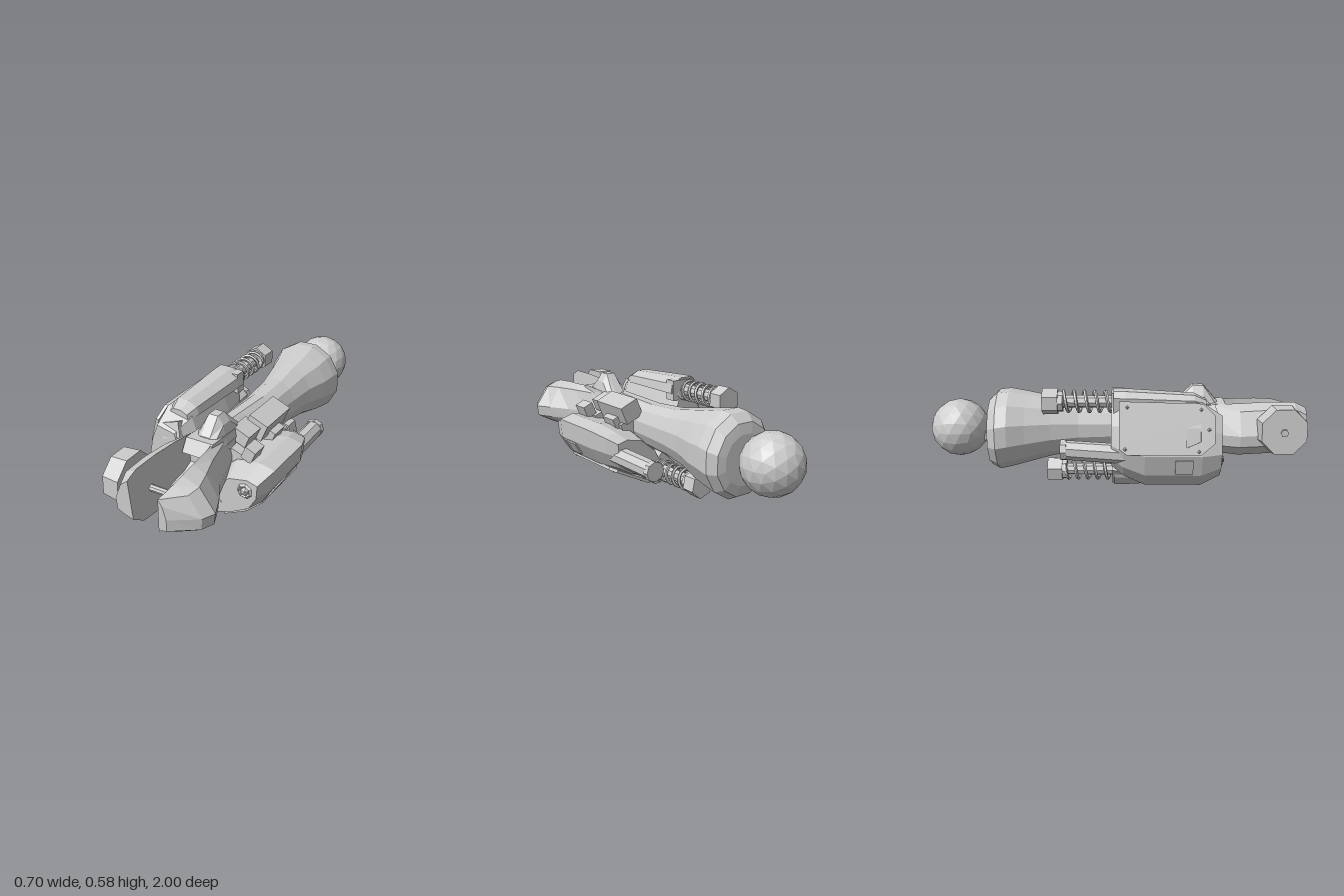
import * as THREE from 'three';

const mat = new THREE.MeshStandardMaterial({ color: 0xcccccc, flatShading: true, side: THREE.DoubleSide });

function add(parent, name, geo, pos = [0, 0, 0], rot = [0, 0, 0]) {
  const m = new THREE.Mesh(geo, mat);
  m.name = name;
  m.position.set(...pos);
  m.rotation.set(...rot);
  parent.add(m);
  return m;
}
const box = (w, h, d) => new THREE.BoxGeometry(w, h, d);
// prism or cone running along z
const rod = (r0, r1, len, sides) => new THREE.CylinderGeometry(r0, r1, len, sides).rotateX(Math.PI / 2);

// skin a list of [z, [[x, y], ...]] cross-sections and close both ends
function loft(sections) {
  const rings = sections.map(([z, pts]) => {
    const area = pts.reduce((s, p, i) => {
      const q = pts[(i + 1) % pts.length];
      return s + p[0] * q[1] - q[0] * p[1];
    }, 0);
    return (area < 0 ? [...pts].reverse() : pts).map(([x, y]) => [x, y, z]);
  });
  const n = rings[0].length, out = [];
  for (let k = 0; k + 1 < rings.length; k++) {
    for (let i = 0; i < n; i++) {
      const j = (i + 1) % n, a = rings[k], b = rings[k + 1];
      out.push(...a[i], ...a[j], ...b[j], ...a[i], ...b[j], ...b[i]);
    }
  }
  const first = rings[0], last = rings[rings.length - 1];
  const mid = r => [0, 1, 2].map(c => r.reduce((s, p) => s + p[c], 0) / n);
  for (let i = 0; i < n; i++) {
    const j = (i + 1) % n;
    out.push(...mid(first), ...first[j], ...first[i], ...mid(last), ...last[i], ...last[j]);
  }
  const g = new THREE.BufferGeometry();
  g.setAttribute('position', new THREE.Float32BufferAttribute(out, 3));
  g.computeVertexNormals();
  return g;
}

const oval = (cx, cy, rx, ry, n = 12) => Array.from({ length: n }, (_, i) => {
  const a = (i + 0.5) / n * Math.PI * 2;
  return [cx + rx * Math.cos(a), cy + ry * Math.sin(a)];
});
const scaled = (pts, s, cx, cy) => pts.map(([x, y]) => [cx + (x - cx) * s, cy + (y - cy) * s]);

// coil spring around a core, with a faceted head at the back
function makeSpring() {
  const g = new THREE.Group();
  g.name = 'spring';
  const pts = Array.from({ length: 61 }, (_, i) => {
    const a = i / 60 * Math.PI * 10;
    return new THREE.Vector3(0.052 * Math.cos(a), 0.052 * Math.sin(a), -0.28 + 0.27 * i / 60);
  });
  add(g, 'springCoil', new THREE.TubeGeometry(new THREE.CatmullRomCurve3(pts), 90, 0.009, 5));
  add(g, 'springCore', rod(0.032, 0.032, 0.34, 8), [0, 0, -0.15]);
  add(g, 'springHead', rod(0.068, 0.07, 0.08, 6), [0, 0, -0.335]);
  add(g, 'springCollar', rod(0.055, 0.055, 0.03, 8), [0, 0, -0.285]);
  add(g, 'springSeat', box(0.14, 0.11, 0.06), [0.01, 0, 0.01]);
  return g;
}

// side pod, facing -x, with z along the limb and the limb axis at the origin
function makePod(name) {
  const pod = new THREE.Group();
  pod.name = name;
  const shell = [[-0.12, 0.17], [-0.26, 0.2], [-0.31, 0.08], [-0.342, -0.06], [-0.31, -0.17],
    [-0.24, -0.245], [-0.17, -0.2], [-0.1, -0.08], [-0.09, 0.08]];
  add(pod, 'podShell', loft([
    [-0.02, scaled(shell, 0.7, -0.2, 0.08)], [0.04, scaled(shell, 0.86, -0.2, 0.1)], [0.15, shell],
    [0.44, shell], [0.54, scaled(shell, 0.72, -0.26, -0.04)]]));

  // spring housing along the upper edge
  const housing = [[-0.09, 0.17], [-0.1, 0.22], [-0.16, 0.25], [-0.235, 0.25], [-0.265, 0.22], [-0.255, 0.14]];
  add(pod, 'springHousing', loft([
    [-0.01, housing], [0.05, housing], [0.4, scaled(housing, 0.82, -0.19, 0.14)],
    [0.46, scaled(housing, 0.6, -0.19, 0.13)]]));

  // bolted outer plate with a window
  const plate = new THREE.Group();
  plate.name = 'outerPlate';
  plate.position.set(-0.3, 0.07, 0);
  plate.rotation.z = -0.28;
  const s = new THREE.Shape([[0.02, -0.1], [0.06, -0.13], [0.43, -0.13], [0.5, -0.07],
    [0.5, 0.07], [0.44, 0.13], [0.02, 0.14]].map(p => new THREE.Vector2(...p)));
  s.holes.push(new THREE.Path([[0.36, -0.09], [0.43, -0.06], [0.43, 0.03], [0.36, 0.01]]
    .map(p => new THREE.Vector2(...p))));
  const pg = new THREE.ExtrudeGeometry(s, { depth: 0.016, bevelEnabled: false });
  add(plate, 'platePanel', pg.rotateY(-Math.PI / 2));
  for (const [z, y] of [[0.05, -0.1], [0.06, 0.11], [0.42, -0.11], [0.43, 0.1], [0.47, 0]]) {
    add(plate, 'plateBolt', new THREE.ConeGeometry(0.012, 0.008, 4).rotateZ(Math.PI / 2), [-0.019, y, z]);
  }
  pod.add(plate);

  // piston at the back and the socket in front
  add(pod, 'piston', loft([
    [-0.28, oval(-0.262, -0.05, 0.05, 0.05, 8)], [0.1, oval(-0.262, -0.075, 0.052, 0.052, 8)]]));
  add(pod, 'pistonCap', rod(0.054, 0.054, 0.03, 8), [-0.262, -0.051, -0.265]);
  add(pod, 'socketRing', new THREE.TorusGeometry(0.032, 0.01, 4, 7), [-0.235, -0.105, 0.54]);
  add(pod, 'socketPin', new THREE.IcosahedronGeometry(0.024, 0), [-0.235, -0.105, 0.54]);
  add(pod, 'sideLug', box(0.05, 0.08, 0.09), [-0.308, -0.115, 0.35], [0, 0, 0.28]);
  add(pod, 'frontClamp', box(0.1, 0.08, 0.12), [-0.19, 0.1, 0.47], [-0.3, 0, 0.3]);
  // braces reaching the shaft
  for (const z of [0.12, 0.38]) add(pod, 'podBrace', box(0.12, 0.1, 0.09), [-0.09, -0.06, z], [0, 0, 0.5]);

  const spring = makeSpring();
  spring.position.set(-0.18, 0.185, 0);
  pod.add(spring);
  return pod;
}

export function createModel() {
  const model = new THREE.Group();
  model.name = 'mechanicalLimb';

  // ball joint
  add(model, 'ballJoint', new THREE.IcosahedronGeometry(0.155, 2), [-0.02, 0.33, -0.846]);
  add(model, 'ballNeck', box(0.1, 0.06, 0.16), [-0.02, 0.3, -0.68]);

  // bone-like shaft: z, centre x, centre y, half width, half height
  add(model, 'shaft', loft([
    [-0.685, -0.01, 0.31, 0.13, 0.13], [-0.675, -0.01, 0.31, 0.175, 0.185], [-0.63, -0.01, 0.318, 0.207, 0.218],
    [-0.57, -0.01, 0.328, 0.205, 0.215], [-0.48, 0, 0.33, 0.182, 0.195], [-0.35, 0, 0.335, 0.145, 0.165],
    [-0.2, 0.005, 0.335, 0.12, 0.138], [0, 0.005, 0.335, 0.105, 0.125], [0.3, 0, 0.34, 0.09, 0.13],
    [0.44, 0, 0.345, 0.1, 0.14],
  ].map(([z, ...o]) => [z, oval(...o)])));

  // fork prongs: z, inner x, outer x, bottom y, top y
  const prong = ([z, i, o, b, t]) => {
    const m = (b + t) / 2 - 0.03, at = f => i + (o - i) * f;
    return [z, [[i, b], [at(0.45), b + 0.01], [at(0.95), m - 0.04], [o, m + 0.02], [at(0.6), t - 0.03], [at(0.15), t]]];
  };
  add(model, 'leftProng', loft([
    [0.36, 0.0, 0.08, 0.22, 0.46], [0.5, 0.06, 0.125, 0.21, 0.47], [0.65, 0.08, 0.175, 0.2, 0.47],
    [0.76, 0.08, 0.24, 0.2, 0.47], [0.85, 0.08, 0.28, 0.2, 0.465], [0.91, 0.08, 0.25, 0.21, 0.45],
    [1.0, 0.08, 0.125, 0.25, 0.42]].map(prong)));
  add(model, 'rightProng', loft([
    [0.36, 0.0, -0.08, 0.22, 0.46], [0.5, -0.04, -0.14, 0.21, 0.47], [0.65, -0.05, -0.185, 0.2, 0.48],
    [0.8, -0.05, -0.19, 0.21, 0.49], [0.94, -0.05, -0.18, 0.22, 0.49],
    [1.0, -0.06, -0.15, 0.26, 0.46]].map(prong)));
  add(model, 'prongDisc', new THREE.CylinderGeometry(0.125, 0.135, 0.09, 8).rotateZ(Math.PI / 2)
    .rotateX(Math.PI / 8), [-0.2, 0.37, 0.86], [0, 0.04, -0.06]);
  add(model, 'discBolt', new THREE.CylinderGeometry(0.02, 0.02, 0.02, 6).rotateZ(Math.PI / 2), [-0.248, 0.37, 0.86]);

  // stepped web: side profile with a deep slot, spanning the prongs
  const web = new THREE.Shape([[0.38, 0.21], [0.76, 0.205], [0.72, 0.285], [0.62, 0.3], [0.56, 0.33],
    [0.56, 0.4], [0.62, 0.41], [0.58, 0.475], [0.38, 0.465]].map(p => new THREE.Vector2(...p)));
  const webGeo = new THREE.ExtrudeGeometry(web, { depth: 0.15, bevelEnabled: false });
  add(model, 'forkWeb', webGeo.rotateY(-Math.PI / 2), [0.093, 0, 0]);
  add(model, 'crossPin', new THREE.CylinderGeometry(0.017, 0.017, 0.18, 8).rotateZ(Math.PI / 2), [0.015, 0.35, 0.86]);

  // raised eyelet on top of the shaft
  const hump = [[-0.06, 0.42], [0.1, 0.42], [0.08, 0.52], [0.05, 0.562], [0.0, 0.562], [-0.03, 0.51]];
  const low = f => hump.map(([x, y]) => [x, 0.42 + (y - 0.42) * f]);
  add(model, 'eyelet', loft([[0.3, low(0.25)], [0.41, hump], [0.465, hump], [0.54, low(0.4)]]));
  add(model, 'eyeletRing', new THREE.TorusGeometry(0.02, 0.008, 4, 5), [0.028, 0.525, 0.472]);

  // blocks clamped on the left shoulder of the shaft
  const block = new THREE.Group();
  block.name = 'shoulderBlocks';
  block.position.set(0.14, 0.41, 0);
  block.rotation.z = -0.4;
  add(block, 'mainBlock', box(0.11, 0.1, 0.24), [-0.005, 0.015, 0.15]);
  add(block, 'blockStep', box(0.1, 0.07, 0.12), [-0.03, 0, 0.32]);
  add(block, 'smallBlock', box(0.06, 0.07, 0.09), [0.07, -0.005, 0.4]);
  add(block, 'blockArm', box(0.05, 0.14, 0.1), [0.06, -0.07, 0.15]);
  model.add(block);

  // two pods set around the shaft
  const rightPod = makePod('rightPod');
  rightPod.position.set(0, 0.33, 0);
  const lowerPod = makePod('lowerLeftPod');
  lowerPod.position.set(0.005, 0.347, 0);
  lowerPod.rotation.z = THREE.MathUtils.degToRad(132);
  model.add(rightPod, lowerPod);
  return model;
}
